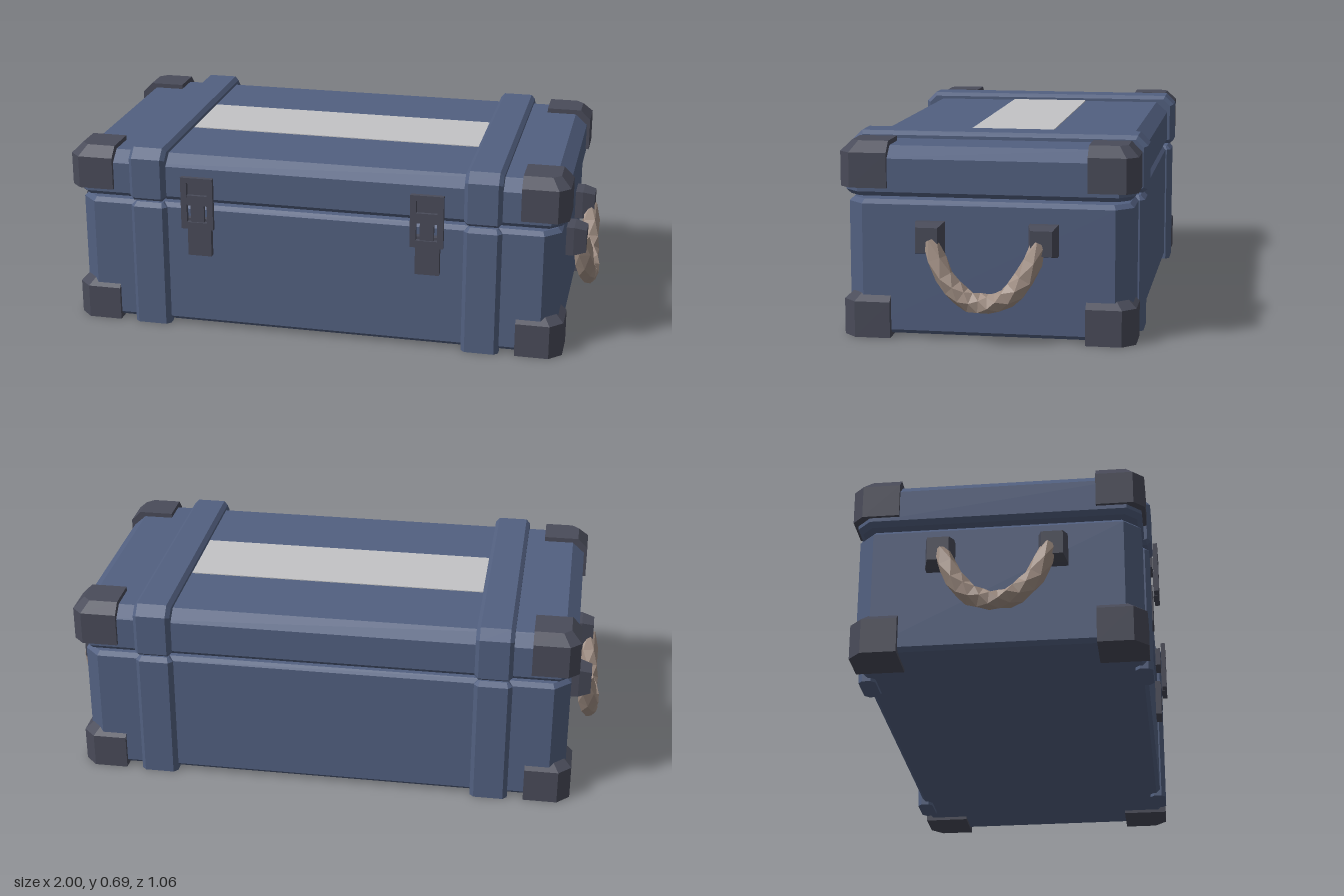
import * as THREE from 'three';

const mat = (name, color) => Object.assign(new THREE.MeshStandardMaterial({ color }), { name });
const blue = mat('bluePaint', 0x526080);
const dark = mat('darkMetal', 0x494b59);
const pale = mat('paleTape', 0xc3c3c5);
const ropeMat = mat('rope', 0xa39186);

const mesh = (name, geometry, material) => {
  const m = new THREE.Mesh(geometry, material);
  m.name = name;
  return m;
};

// Faceted closed solid through a stack of equal-length rings of [x, y, z]
function loft(rings) {
  const pos = [];
  const tri = (...pts) => pts.forEach((p) => pos.push(...p));
  const n = rings[0].length;
  for (let i = 0; i < rings.length - 1; i++) {
    const lo = rings[i], hi = rings[i + 1];
    for (let k = 0; k < n; k++) {
      const j = (k + 1) % n;
      tri(lo[k], hi[k], lo[j]);
      tri(lo[j], hi[k], hi[j]);
    }
  }
  const first = rings[0], last = rings[rings.length - 1];
  for (let k = 1; k < n - 1; k++) {
    tri(first[0], first[k], first[k + 1]);
    tri(last[0], last[k + 1], last[k]);
  }
  const g = new THREE.BufferGeometry();
  g.setAttribute('position', new THREE.Float32BufferAttribute(pos, 3));
  g.computeVertexNormals();
  return g;
}

// Box with cut vertical edges; each row is [y, inset]
function chamferBox(hx, hz, cut, rows) {
  return loft(rows.map(([y, inset]) => {
    const x = hx - inset, z = hz - inset, c = Math.max(cut - 0.586 * inset, 0.001);
    return [[x, z - c], [x - c, z], [c - x, z], [-x, z - c], [-x, c - z], [c - x, -z], [x - c, -z], [x, c - z]]
      .map(([px, pz]) => [px, y, pz]);
  }));
}

// Corner cap: the two outer sides follow the insets, the inner sides stay put
function cornerGuard(sx, sz, X, Z, size, cut, rows) {
  return loft(rows.map(([y, inset]) => {
    const x = X - inset, z = Z - inset, c = cut - 0.3 * inset;
    const ring = [[x, Z - size], [x, z - c], [x - c, z], [X - size, z], [X - size, Z - size]]
      .map(([px, pz]) => [px * sx, y, pz * sz]);
    return sx * sz < 0 ? ring.reverse() : ring;
  }));
}

// Strap wrapped over the lid, with bevelled long edges
function lidStrap() {
  const s = new THREE.Shape([
    [-0.505, 0.488], [0.505, 0.488], [0.52, 0.5], [0.52, 0.65], [0.485, 0.685],
    [-0.485, 0.685], [-0.52, 0.65], [-0.52, 0.5],
  ].map(([z, y]) => new THREE.Vector2(z, y)));
  const g = new THREE.ExtrudeGeometry(s, {
    depth: 0.107, bevelEnabled: true, bevelSize: 0.014, bevelOffset: -0.014, bevelThickness: 0.014, bevelSegments: 1,
  });
  return g.translate(0, 0, -0.0535).rotateY(Math.PI / 2);
}

// Toggle latch: keeper on the lid, hinge plate on the body, wire frame between
function latch() {
  const g = new THREE.Group();
  g.name = 'latch';
  const box = (name, w, y0, y1, z0, z1) => {
    const m = mesh(name, new THREE.BoxGeometry(w, y1 - y0, z1 - z0), dark);
    m.position.set(0, (y0 + y1) / 2, (z0 + z1) / 2);
    g.add(m);
  };
  box('latchKeeper', 0.082, 0.51, 0.585, 0.47, 0.515);
  box('latchPlate', 0.088, 0.29, 0.435, 0.46, 0.513);
  box('latchBar', 0.1, 0.492, 0.53, 0.521, 0.533);
  box('latchTongue', 0.05, 0.4, 0.5, 0.516, 0.53);

  const rect = (P, x, y0, y1) => new P([[-x, y0], [x, y0], [x, y1], [-x, y1]].map((p) => new THREE.Vector2(...p)));
  const frame = rect(THREE.Shape, 0.06, 0.402, 0.598);
  frame.holes.push(rect(THREE.Path, 0.038, 0.428, 0.578));
  const f = mesh('latchFrame', new THREE.ExtrudeGeometry(frame, { depth: 0.017, bevelEnabled: false }), dark);
  f.position.z = 0.519;
  g.add(f);
  return g;
}

// Twisted rope loop hanging between two tapered mounts
function handle() {
  const g = new THREE.Group();
  g.name = 'handle';
  const taper = (h, w, y) => [[h, y, -w], [h, y, w], [-h, y, w], [-h, y, -w]];
  for (const s of [-1, 1]) {
    const m = mesh('handleMount', loft([taper(0.054, 0.049, 0), taper(0.054, 0.049, 0.035), taper(0.043, 0.037, 0.08)])
      .rotateZ(-Math.PI / 2), dark);
    m.position.set(0.883, 0.355, s * 0.194);
    g.add(m);
  }

  const half = [[0.945, 0.355, 0.185], [0.957, 0.225, 0.13], [0.964, 0.16, 0.065]];
  const points = [...half, [0.965, 0.145, 0], ...half.map(([x, y, z]) => [x, y, -z]).reverse()];
  const curve = new THREE.CatmullRomCurve3(points.map((p) => new THREE.Vector3(...p)));
  const rings = [], steps = 13, sides = 5;
  for (let i = 0; i <= steps; i++) {
    const p = curve.getPoint(i / steps), t = curve.getTangent(i / steps);
    const w = new THREE.Vector3(1, 0, 0).cross(t).normalize();
    const u = new THREE.Vector3().crossVectors(t, w);
    const end = i === 0 || i === steps;
    rings.push(Array.from({ length: sides }, (_, k) => {
      const a = (k / sides) * Math.PI * 2 + i * 0.5;
      const r = end ? 0.026 : k % 2 ? 0.033 : 0.037;
      return p.clone().addScaledVector(u, r * Math.cos(a)).addScaledVector(w, r * Math.sin(a)).toArray();
    }));
  }
  g.add(mesh('ropeLoop', loft(rings), ropeMat));
  return g;
}

export function createModel() {
  const model = new THREE.Group();
  model.name = 'storageCase';
  model.position.z = -0.008;

  // Shells
  model.add(mesh('body', chamferBox(0.89, 0.49, 0.057,
    [[0.012, 0.014], [0.026, 0], [0.462, 0], [0.477, 0.015]]), blue));
  model.add(mesh('lid', chamferBox(0.905, 0.495, 0.05,
    [[0.49, 0.016], [0.506, 0], [0.62, 0], [0.66, 0.045]]), blue));

  // Label strip on the lid
  const strip = mesh('topStrip', new THREE.BoxGeometry(1.094, 0.004, 0.299), pale);
  strip.position.set(0, 0.661, -0.006);
  model.add(strip);

  // Straps
  for (const sx of [-1, 1]) {
    const top = mesh('lidStrap', lidStrap(), blue);
    top.position.x = sx * 0.617;
    model.add(top);
    for (const sz of [-1, 1]) {
      const side = mesh('bodyStrap', chamferBox(0.0685, 0.03, 0.015,
        [[0, 0], [0.462, 0], [0.478, 0.016]]), blue);
      side.position.set(sx * 0.617, 0, sz * 0.481);
      model.add(side);
    }
  }

  // Corner guards
  for (const sx of [-1, 1]) {
    for (const sz of [-1, 1]) {
      model.add(mesh('lidCorner', cornerGuard(sx, sz, 0.917, 0.508, 0.167, 0.038,
        [[0.52, 0], [0.64, 0], [0.677, 0.037]]), dark));
      model.add(mesh('bodyCorner', cornerGuard(sx, sz, 0.912, 0.504, 0.168, 0.045,
        [[0, 0], [0.125, 0], [0.17, 0.05]]), dark));
    }
  }

  // Latches and rope handles
  for (const s of [-1, 1]) {
    const l = latch();
    l.position.x = s * 0.422;
    model.add(l);
    const h = handle();
    h.rotation.y = s < 0 ? Math.PI : 0;
    model.add(h);
  }

  const root = new THREE.Group();
  root.name = 'storageCaseRoot';
  root.add(model);
  return root;
}
